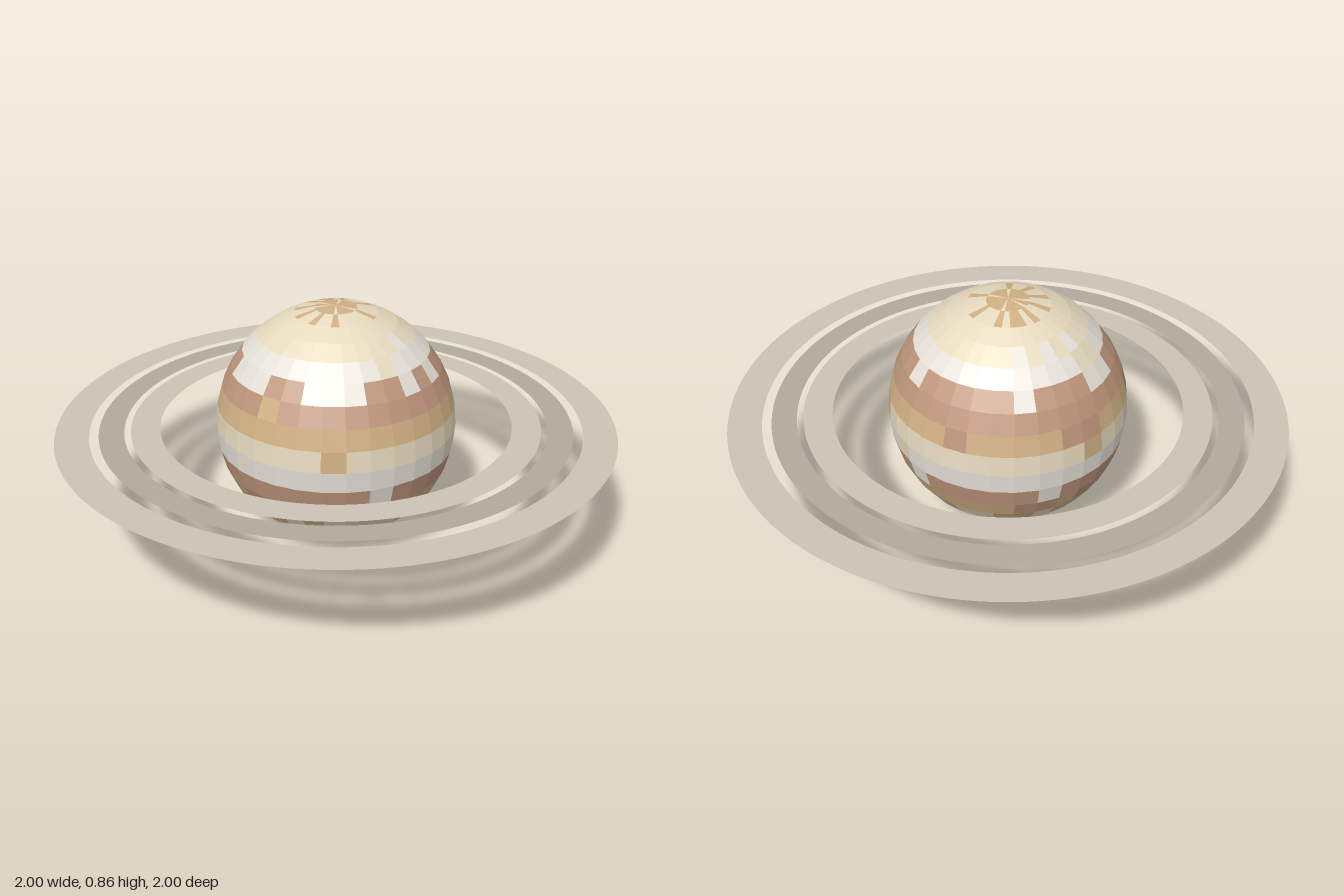
import * as THREE from 'three';

const R = 0.432, COLS = 32, ROWS = 18;
const palette = { white: 0xe6e1d8, cream: 0xe6dabe, tan: 0xd0b084, rust: 0xbf967c };

// cloud bands from north to south: main colour, stray colour, chance of a stray cell
const bands = [
  ['tan', 'cream', 0.35], ['cream', 'tan', 0.4], ['cream', 'tan', 0.1],
  ['cream', 'white', 0.1], ['white', 'cream', 0.1], ['rust', 'white', 0.25],
  ['rust', 'tan', 0.04], ['tan', 'rust', 0.06], ['cream', 'tan', 0.06],
  ['white', 'cream', 0.08], ['rust', 'white', 0.06], ['tan', 'rust', 0.25],
  ['cream', 'tan', 0.4], ['cream', 'white', 0.2], ['white', 'cream', 0.2],
  ['white', 'cream', 0.2], ['white', 'rust', 0.25], ['rust', 'white', 0.4],
];
// columns (counted from the front towards +x) that hold stray cells in some bands
const strays = { 5: [31, 0, 1, 26, 27, 28, 4, 6, 11, 17, 21, 22], 6: [29], 8: [0, 9, 20], 10: [2, 12, 18, 25] };

function seeded(seed) {
  return () => {
    seed = (seed * 16807) % 2147483647;
    return seed / 2147483647;
  };
}

function createPlanet() {
  const planet = new THREE.Group();
  planet.name = 'planet';
  const rand = seeded(4127);
  const cells = bands.map(([main, stray, chance], row) =>
    Array.from({ length: COLS }, (_, col) => {
      const r = rand();
      return (strays[row] ? strays[row].includes(col) : r < chance) ? stray : main;
    }));

  // sort the faceted sphere's triangles by the colour of their cell
  const pos = new THREE.SphereGeometry(R, COLS, ROWS).toNonIndexed().attributes.position;
  const buckets = { white: [], cream: [], tan: [], rust: [] };
  const p = [0, 1, 2].map(() => new THREE.Vector3());
  const mid = new THREE.Vector3();
  for (let i = 0; i < pos.count; i += 3) {
    mid.set(0, 0, 0);
    p.forEach((v, k) => mid.add(v.fromBufferAttribute(pos, i + k)));
    mid.normalize();
    const row = Math.min(ROWS - 1, Math.floor(Math.acos(mid.y) / Math.PI * ROWS));
    const turn = Math.atan2(mid.x, mid.z) / (2 * Math.PI) + 1;
    const col = Math.floor(turn * COLS) % COLS;
    p.forEach(v => buckets[cells[row][col]].push(v.x, v.y, v.z));
  }
  for (const [name, points] of Object.entries(buckets)) {
    const geometry = new THREE.BufferGeometry();
    geometry.setAttribute('position', new THREE.Float32BufferAttribute(points, 3));
    geometry.computeVertexNormals();
    const mesh = new THREE.Mesh(geometry, new THREE.MeshStandardMaterial({ color: palette[name], flatShading: true }));
    mesh.name = name + 'Clouds';
    planet.add(mesh);
  }
  return planet;
}

export function createModel() {
  const model = new THREE.Group();
  model.name = 'ringedPlanet';
  const planet = createPlanet();
  planet.position.y = R;
  model.add(planet);

  // three flat rings around the equator
  const rings = [
    ['innerRing', 0.632, 0.735, 0xccc3b4],
    ['middleRing', 0.758, 0.847, 0xb0aa9e],
    ['outerRing', 0.88, 1, 0xccc3b4],
  ];
  for (const [name, inner, outer, color] of rings) {
    const geometry = new THREE.RingGeometry(inner, outer, 128).rotateX(-Math.PI / 2);
    const ring = new THREE.Mesh(geometry, new THREE.MeshStandardMaterial({ color, side: THREE.DoubleSide }));
    ring.name = name;
    ring.position.y = R;
    model.add(ring);
  }
  return model;
}
